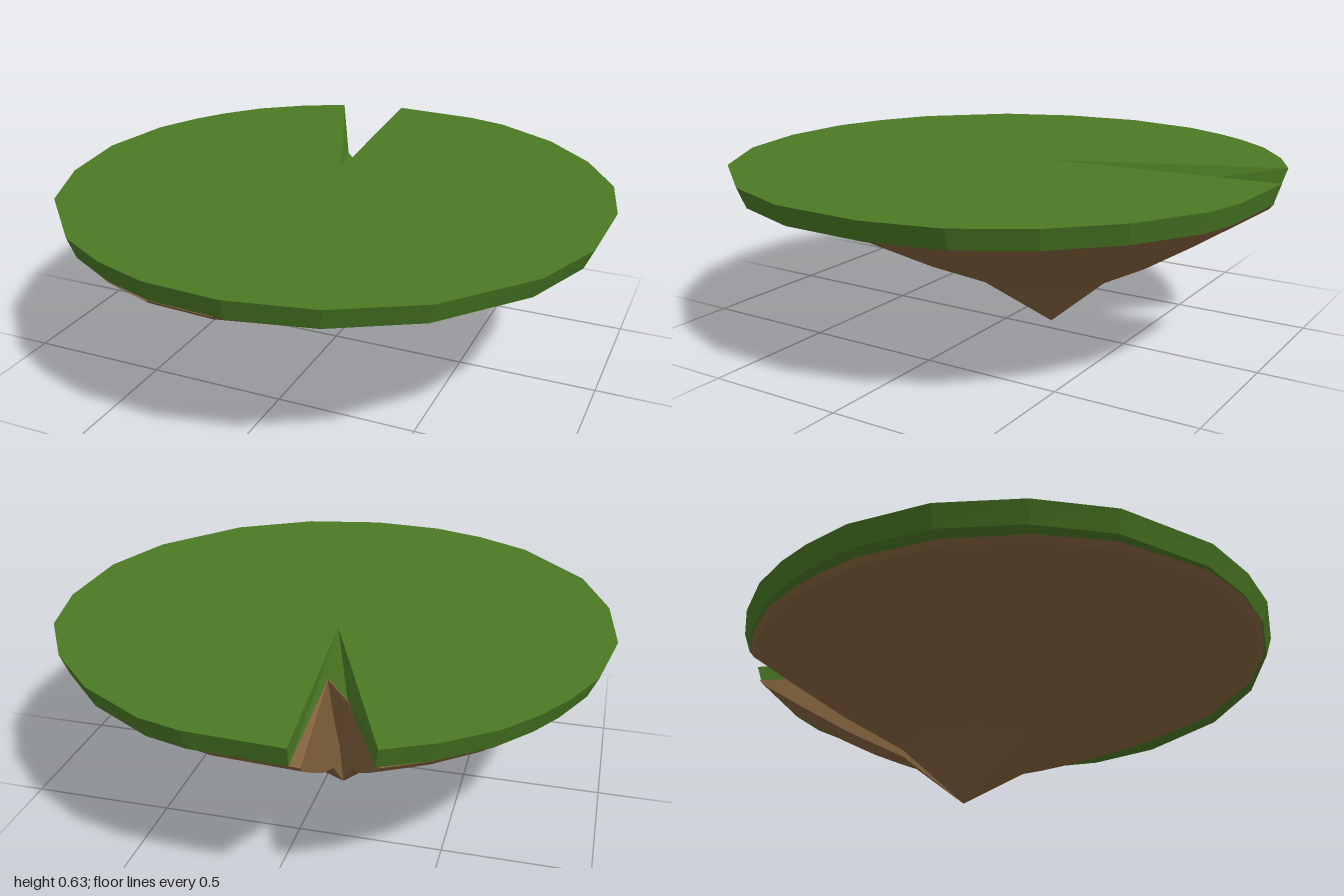
import * as THREE from 'three';

// Island outline as [x, z], running from one lip of the cleft round to the other
const outline = [
  [-0.12, -1.0], [0.21, -0.98], [0.36, -0.94], [0.6, -0.8], [0.79, -0.61], [0.93, -0.38],
  [0.99, -0.12], [0.98, 0.21], [0.88, 0.48], [0.64, 0.77], [0.36, 0.93], [0.07, 0.99],
  [-0.2, 0.975], [-0.4, 0.91], [-0.6, 0.8], [-0.85, 0.53], [-0.96, 0.26], [-1.0, -0.04],
  [-0.95, -0.33], [-0.87, -0.5], [-0.8, -0.61], [-0.69, -0.74], [-0.53, -0.86], [-0.37, -0.94],
];
const tip = [-0.05, -0.16];                       // inner end of the cleft on the surface
const cleft = [[-0.18, -0.54], [-0.08, -0.41]];   // inner end of the cleft lower down
const apex = [-0.07, -0.16];                      // lowest point of the soil

// Joins closed rings of 3D points from bottom to top, with optional flat caps
function loft(rings, capBottom) {
  const pos = [];
  const tri = (a, b, c) => {
    const area = new THREE.Triangle(a, b, c).getArea();
    if (area > 1e-7) for (const p of [a, b, c]) pos.push(p.x, p.y, p.z);
  };
  for (let k = 0; k + 1 < rings.length; k++) {
    const lo = rings[k], hi = rings[k + 1];
    lo.forEach((p, i) => {
      const j = (i + 1) % lo.length;
      tri(lo[j], p, hi[i]);
      tri(lo[j], hi[i], hi[j]);
    });
  }
  const cap = (ring, up) => {
    const flat = ring.map((p) => new THREE.Vector2(p.x, p.z));
    for (const [a, b, c] of THREE.ShapeUtils.triangulateShape(flat, [])) {
      const facesUp = flat[b].clone().sub(flat[a]).cross(flat[c].clone().sub(flat[a])) < 0;
      if (facesUp === up) tri(ring[a], ring[b], ring[c]);
      else tri(ring[a], ring[c], ring[b]);
    }
  };
  cap(rings[rings.length - 1], true);
  if (capBottom) cap(rings[0], false);
  const geometry = new THREE.BufferGeometry();
  geometry.setAttribute('position', new THREE.Float32BufferAttribute(pos, 3));
  geometry.computeVertexNormals();
  return geometry;
}

const ringAt = (points, y) => points.map(([x, z]) => new THREE.Vector3(x, y, z));

export function createModel() {
  const grass = new THREE.MeshStandardMaterial({ color: 0x4b7a24 });
  grass.name = 'grass green';
  const soil = new THREE.MeshStandardMaterial({ color: 0x86643f });
  soil.name = 'soil brown';

  const island = new THREE.Group();
  island.name = 'floatingIsland';
  const add = (name, geometry, material) => {
    const mesh = new THREE.Mesh(geometry, material);
    mesh.name = name;
    island.add(mesh);
  };

  // Grass slab: slightly narrower below, with a sloping inner end to the cleft
  const slabTop = [...outline, tip, tip];
  const slabBottom = [...outline.map(([x, z]) => [x * 0.967, z * 0.977]), ...cleft];
  add('grassSlab', loft([ringAt(slabBottom, 0.555), ringAt(slabTop, 0.628)], true), grass);

  // Soil: the rim shrinks level by level towards an off-centre point
  const rim = [...outline.map(([x, z]) => [x * 0.875 - 0.045, z * 0.97]), ...cleft];
  const levels = [[0, 0], [0.28, 0.195], [0.55, 0.31], [0.78, 0.425], [0.98, 0.53], [1, 0.55]];
  const soilRings = levels.map(([s, y]) => ringAt(
    rim.map(([x, z]) => [apex[0] + (x - apex[0]) * s, apex[1] + (z - apex[1]) * s]), y));
  add('soilCone', loft(soilRings, false), soil);

  return island;
}
